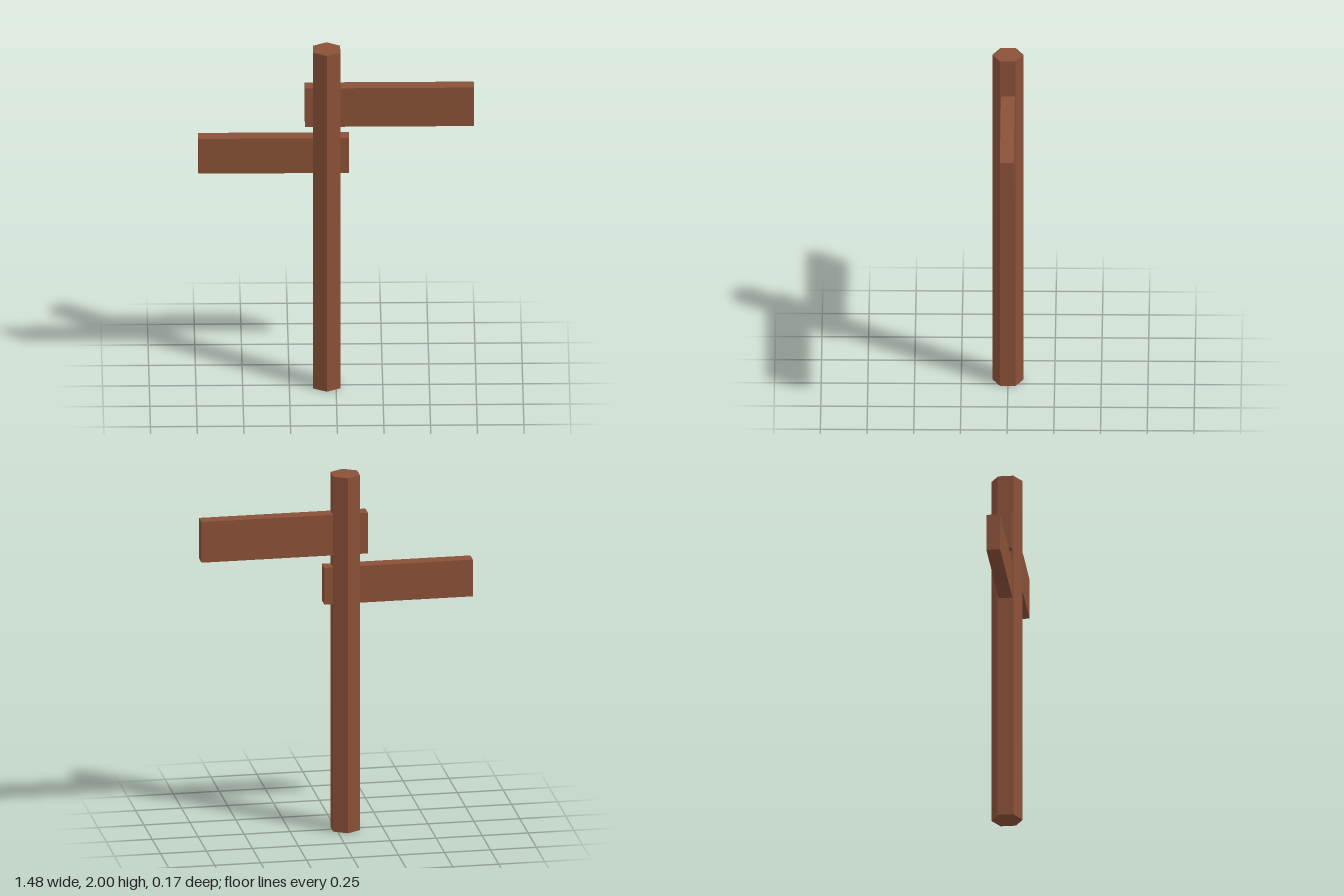
import * as THREE from 'three';

export function createModel() {
  const model = new THREE.Group();
  model.name = 'signpost';

  const wood = new THREE.MeshStandardMaterial({ color: 0x8a5037 });
  wood.name = 'brown wood';

  // Hexagonal post with flat facets
  const postGeometry = new THREE.CylinderGeometry(0.084, 0.084, 2, 6).toNonIndexed();
  postGeometry.computeVertexNormals();
  const post = new THREE.Mesh(postGeometry, wood);
  post.name = 'post';
  post.position.set(-0.05, 1, 0);
  model.add(post);

  // Sign boards running through the post
  const addBoard = (name, x0, x1, y0, y1) => {
    const board = new THREE.Mesh(new THREE.BoxGeometry(x1 - x0, y1 - y0, 0.074), wood);
    board.name = name;
    board.position.set((x0 + x1) / 2, (y0 + y1) / 2, 0);
    model.add(board);
  };
  addBoard('upperBoard', -0.167, 0.738, 1.555, 1.784);
  addBoard('lowerBoard', -0.738, 0.07, 1.28, 1.487);

  return model;
}
